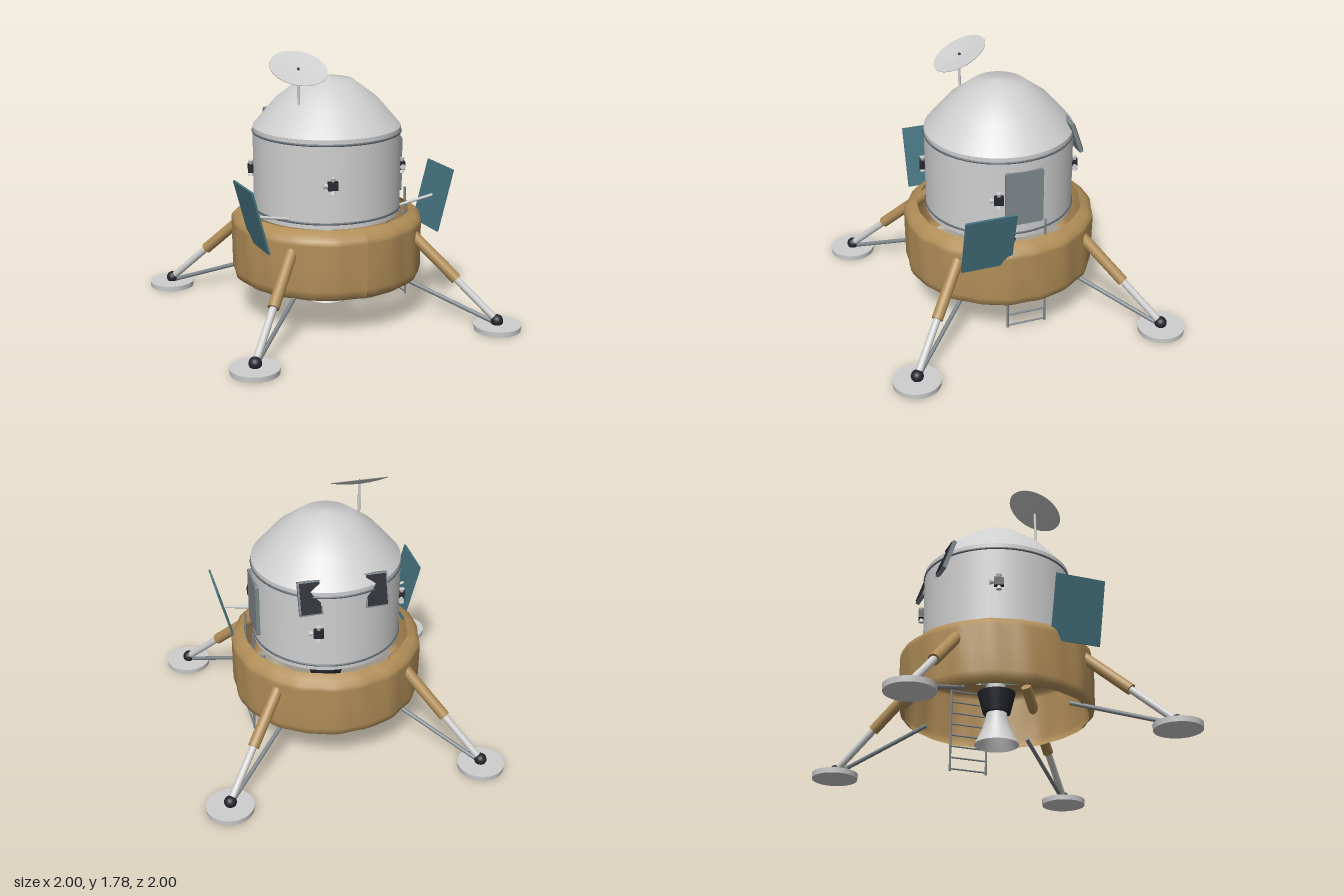
import * as THREE from 'three';

const V = (x, y, z) => new THREE.Vector3(x, y, z);

export function createModel() {
  const model = new THREE.Group();
  model.name = 'lunarLander';

  const paint = (name, color, side = THREE.FrontSide) => {
    const m = new THREE.MeshStandardMaterial({ color, side });
    m.name = name;
    return m;
  };
  const white = paint('hullWhite', 0xcfcfcf, THREE.DoubleSide);
  const gold = paint('goldFoil', 0xb08d57, THREE.DoubleSide);
  const grey = paint('metalGrey', 0x7e878c);
  const band = paint('bandGrey', 0x626b72);
  const dark = paint('darkMetal', 0x24262d);
  const teal = paint('solarTeal', 0x457480);

  const add = (name, geo, mat, parent = model) => {
    const m = new THREE.Mesh(geo, mat);
    m.name = name;
    parent.add(m);
    return m;
  };
  const lathe = (pts, seg = 48) =>
    new THREE.LatheGeometry(pts.map(([x, y]) => new THREE.Vector2(x, y)), seg);
  // round bar between two points
  const bar = (name, a, b, r, mat, parent = model, sides = 16) => {
    const m = add(name, new THREE.CylinderGeometry(r, r, a.distanceTo(b), sides), mat, parent);
    m.position.copy(a).lerp(b, 0.5);
    m.quaternion.setFromUnitVectors(V(0, 1, 0), b.clone().sub(a).normalize());
    return m;
  };

  // Descent stage: open shell of crinkled foil
  const foil = lathe([[0.595, 0.26], [0.625, 0.285], [0.635, 0.33], [0.635, 0.48],
    [0.635, 0.63], [0.632, 0.66], [0.6, 0.69], [0.55, 0.715]], 72);
  const p = foil.attributes.position;
  for (let i = 0; i < p.count; i++) {
    const a = Math.atan2(p.getX(i), p.getZ(i)), y = p.getY(i);
    const k = 1 + 0.007 * Math.sin(a * 19 + 3 * y) + 0.006 * Math.sin(a * 11 + 1.3 - 4 * y);
    p.setXYZ(i, p.getX(i) * k, y, p.getZ(i) * k);
  }
  foil.computeVertexNormals();
  add('descentStage', foil, gold);

  // Ascent stage: cabin, dome and trim bands
  add('cabin', new THREE.CylinderGeometry(0.49, 0.49, 0.58, 64), white).position.y = 0.99;
  add('dome', lathe([[0.49, 1.28], [0.34, 1.455], [0.175, 1.58], [0, 1.607]], 64), white);
  for (const y of [0.735, 1.245]) {
    const ring = add('trimBand', new THREE.TorusGeometry(0.489, 0.008, 8, 64), band);
    ring.rotation.x = Math.PI / 2;
    ring.position.y = y;
  }

  // Engine
  add('engineMount', new THREE.CylinderGeometry(0.06, 0.06, 0.28, 24), white).position.y = 0.56;
  add('engineBlock', new THREE.CylinderGeometry(0.125, 0.09, 0.14, 32), dark).position.y = 0.36;
  add('engineBell', lathe([[0.145, 0.075], [0.125, 0.115], [0.098, 0.175],
    [0.077, 0.235], [0.065, 0.3]], 40), white);

  // Landing legs, one per corner
  for (let i = 0; i < 4; i++) {
    const leg = new THREE.Group();
    leg.name = 'landingLeg';
    leg.rotation.y = i * Math.PI / 2;
    model.add(leg);
    const ankle = V(0.842, 0.06, 0.842), knee = V(0.645, 0.31, 0.645);
    bar('upperStrut', knee, V(0.36, 0.67, 0.36), 0.037, gold, leg, 20);
    bar('lowerStrut', ankle, knee, 0.024, white, leg);
    bar('braceStrut', V(0.83, 0.045, 0.83), V(0.36, 0.285, 0.36), 0.014, grey, leg, 10);
    add('ankleBall', new THREE.SphereGeometry(0.041, 20, 14), dark, leg).position.copy(ankle);
    add('footPad', new THREE.CylinderGeometry(0.155, 0.152, 0.036, 40), white, leg)
      .position.set(0.845, 0.02, 0.845);
  }

  // Thruster clusters around the cabin
  for (let i = 0; i < 4; i++) {
    const quad = new THREE.Group();
    quad.name = 'thrusterCluster';
    const a = -0.34 + i * Math.PI / 2;
    quad.position.set(0.5 * Math.sin(a), 0.99, 0.5 * Math.cos(a));
    quad.rotation.y = a;
    model.add(quad);
    add('thrusterBlock', new THREE.BoxGeometry(0.065, 0.055, 0.05), dark, quad);
    for (const turn of [0, Math.PI / 2, Math.PI]) {
      const n = add('thrusterNozzle', new THREE.CylinderGeometry(0.019, 0.009, 0.03, 14), white, quad);
      n.position.set(-Math.sin(turn) * 0.044, Math.cos(turn) * 0.037, 0.005);
      n.rotation.z = turn;
    }
  }

  // Sloped rear windows
  for (const s of [1, -1]) {
    const win = new THREE.Group();
    win.name = 'window';
    win.position.set(s * 0.215, 1.235, -0.437);
    win.rotation.x = 0.33;
    model.add(win);
    add('windowFrame', new THREE.BoxGeometry(0.15, 0.22, 0.026), grey, win);
    add('windowPane', new THREE.BoxGeometry(0.128, 0.2, 0.008), dark, win).position.z = -0.015;
  }

  // Side hatch with rounded corners
  const h = new THREE.Shape(), w = 0.127, t = 0.187, r = 0.015;
  h.absarc(w - r, t - r, r, 0, Math.PI / 2);
  h.absarc(r - w, t - r, r, Math.PI / 2, Math.PI);
  h.absarc(r - w, r - t, r, Math.PI, Math.PI * 1.5);
  h.absarc(w - r, r - t, r, Math.PI * 1.5, Math.PI * 2);
  const hatch = add('hatch', new THREE.ExtrudeGeometry(h,
    { depth: 0.025, bevelEnabled: false, curveSegments: 5 }), grey);
  hatch.rotation.y = Math.PI / 2;
  hatch.position.set(0.475, 0.988, 0.002);

  // Solar panels on short arms
  for (const s of [1, -1]) {
    const panel = add('solarPanel', new THREE.BoxGeometry(0.013, 0.425, 0.335), teal);
    panel.position.set(s * 0.649, 0.797, 0.297);
    panel.rotation.z = -s * 0.258;
    bar('panelArm', V(s * 0.4, 0.755, 0.295), V(s * 0.645, 0.797, 0.295), 0.01, white, model, 10);
  }

  // Ladder below the hatch
  const ladder = new THREE.Group();
  ladder.name = 'ladder';
  model.add(ladder);
  for (const z of [0.13, -0.13])
    bar('ladderRail', V(0.54, 0.055, z), V(0.524, 0.825, z), 0.008, grey, ladder, 8);
  for (let i = 0; i < 8; i++) {
    const y = 0.07 + i * 0.08, x = 0.54 - (y - 0.055) * 0.021;
    bar('ladderRung', V(x, y, -0.13), V(x, y, 0.13), 0.006, grey, ladder, 8);
  }

  // Dish antenna, tilted forward
  bar('antennaMast', V(-0.272, 1.45, 0.175), V(-0.272, 1.685, 0.175), 0.009, white, model, 10);
  const dish = add('antennaDish', lathe([[0, -0.018], [0.07, -0.015], [0.13, -0.008],
    [0.188, 0.004], [0.187, 0.008], [0.1, -0.002], [0, -0.007]], 40), white);
  dish.position.set(-0.272, 1.692, 0.172);
  dish.rotation.x = 0.47;
  const feed = add('antennaFeed', new THREE.SphereGeometry(0.009, 10, 8), dark, dish);
  feed.position.y = 0.001;

  return model;
}
